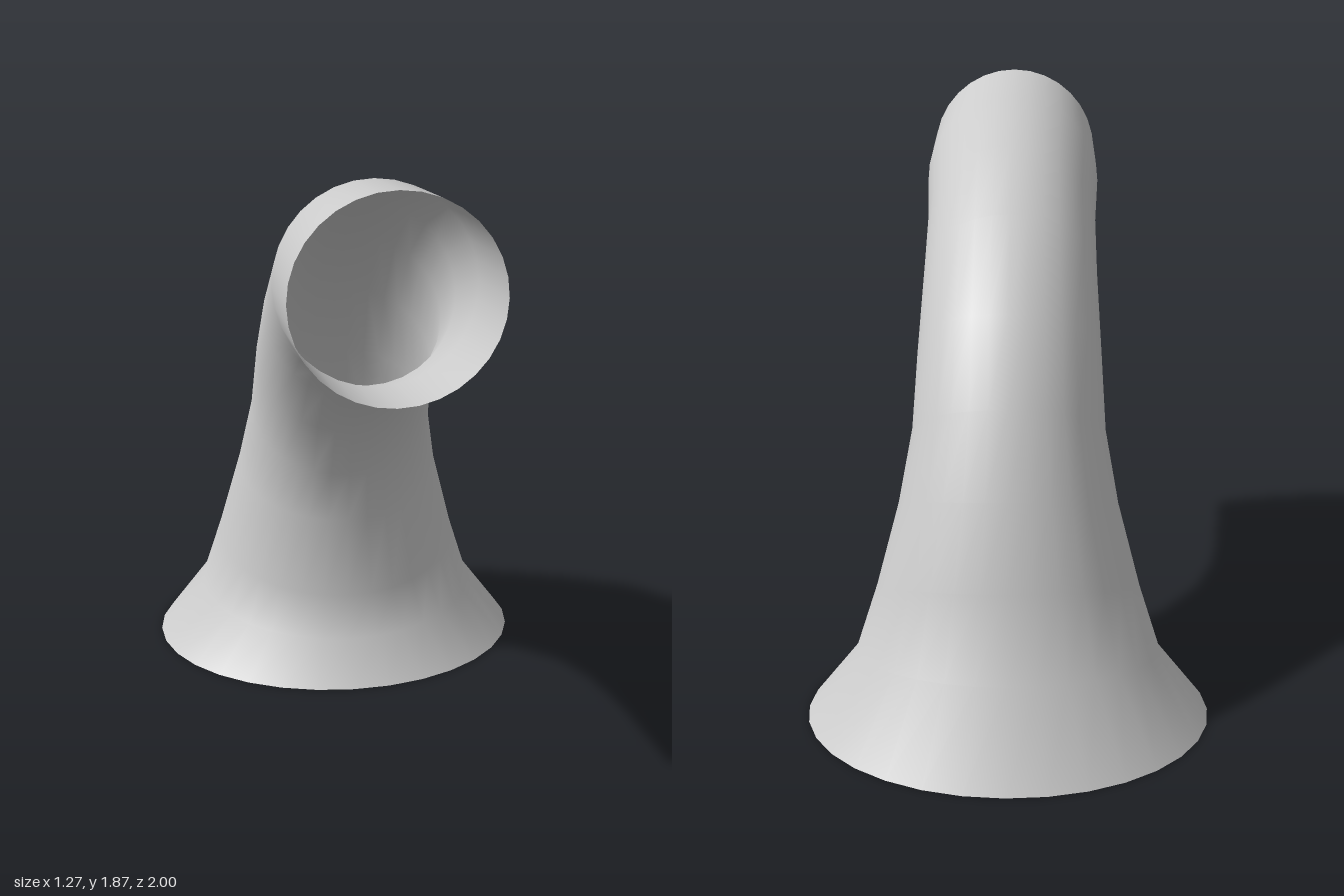
import * as THREE from 'three';

// Cross-sections from the flared base to the open mouth:
// [back z, back y, front z, front y, half width]
const SECTIONS = [
  [-1.0, 0.0, 0.13, 0.0, 0.635],
  [-0.82, 0.26, 0.02, 0.135, 0.48],
  [-0.73, 0.515, -0.02, 0.28, 0.415],
  [-0.64, 0.77, -0.035, 0.55, 0.345],
  [-0.52, 1.02, 0.005, 0.73, 0.305],
  [-0.37, 1.28, 0.09, 0.91, 0.293],
  [-0.09, 1.53, 0.25, 1.08, 0.283],
  [0.22, 1.7, 0.42, 1.17, 0.283],
  [0.54, 1.82, 0.64, 1.235, 0.298],
  [1.0, 1.872, 1.0, 1.285, 0.295],
];
const SIDES = 32;

// Joins elliptical rings into one smooth, open-ended skin
function loftEllipses(sections, sides) {
  const positions = [];
  const indices = [];
  sections.forEach(([z0, y0, z1, y1, halfWidth], row) => {
    for (let i = 0; i < sides; i++) {
      const a = (i / sides) * Math.PI * 2;
      const t = (1 - Math.cos(a)) / 2; // 0 at the back, 1 at the front
      positions.push(
        halfWidth * Math.sin(a),
        THREE.MathUtils.lerp(y0, y1, t),
        THREE.MathUtils.lerp(z0, z1, t)
      );
      if (row === sections.length - 1) continue;
      const p = row * sides + i;
      const q = row * sides + ((i + 1) % sides);
      indices.push(p, p + sides, q, q, p + sides, q + sides);
    }
  });
  const geometry = new THREE.BufferGeometry();
  geometry.setAttribute('position', new THREE.Float32BufferAttribute(positions, 3));
  geometry.setIndex(indices);
  geometry.computeVertexNormals();
  return geometry;
}

export function createModel() {
  const group = new THREE.Group();
  group.name = 'curvedPipe';

  // Thin pipe, open at both ends
  const material = new THREE.MeshStandardMaterial({ color: 0xcccccc, side: THREE.DoubleSide });
  const pipe = new THREE.Mesh(loftEllipses(SECTIONS, SIDES), material);
  pipe.name = 'flaredPipe';
  group.add(pipe);

  return group;
}
